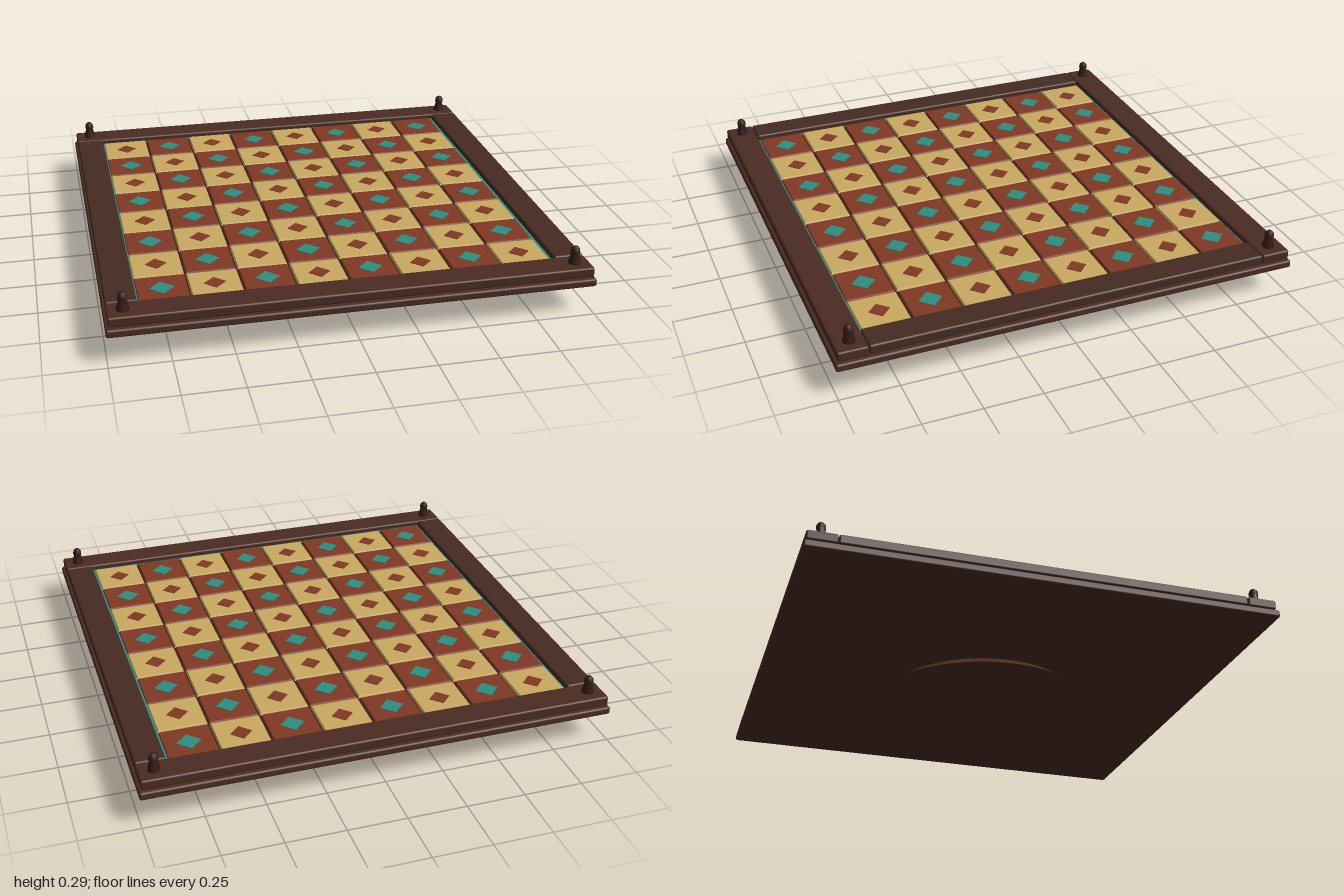
import * as THREE from 'three';
import { RoundedBoxGeometry } from 'three/addons/geometries/RoundedBoxGeometry.js';

const material = (name, color) => {
  const m = new THREE.MeshStandardMaterial({ color });
  m.name = name;
  return m;
};

export function createModel() {
  const wood = material('brown wood', 0x4a2b22);
  const sideWood = material('dull brown wood', 0x452b23);
  const dark = material('dark wood', 0x301c15);
  const cream = material('cream tile', 0xc9aa60);
  const rust = material('rust tile', 0x803822);
  const teal = material('teal inlay', 0x2a8f80);

  const board = new THREE.Group();
  board.name = 'gameBoard';
  const add = (name, geometry, mat, x = 0, y = 0, z = 0, parent = board) => {
    const mesh = new THREE.Mesh(geometry, mat);
    mesh.name = name;
    mesh.position.set(x, y, z);
    parent.add(mesh);
    return mesh;
  };
  const slab = (w, h, d, r) => new RoundedBoxGeometry(w, h, d, 2, r);

  // Pedestal: spreading foot, round column and a flare under the board
  add('pedestalFoot', new THREE.CylinderGeometry(0.43, 0.51, 0.055, 64), wood, 0, 0.0275);
  add('pedestalColumn', new THREE.CylinderGeometry(0.3, 0.3, 0.06, 64, 1, true), wood, 0, 0.08);
  add('pedestalFlare', new THREE.CylinderGeometry(0.51, 0.3, 0.028, 64), wood, 0, 0.118);

  // Base plate and the bed that carries the tiles
  add('basePlate', slab(2, 0.034, 2, 0.009), wood, 0, 0.145);
  add('tileBed', new THREE.BoxGeometry(1.75, 0.024, 1.75), dark, 0, 0.17);

  // Raised frame with long rails at front and back
  for (const s of [-1, 1]) {
    add(s > 0 ? 'frontRail' : 'backRail', slab(1.98, 0.042, 0.126, 0.008), wood, 0, 0.189, s * 0.927);
    add(s > 0 ? 'leftRail' : 'rightRail', slab(0.124, 0.042, 1.724, 0.008), sideWood, s * 0.927, 0.19, 0);
    // Thin inlay line beside the tiles
    add('inlayLine', new THREE.BoxGeometry(0.012, 0.006, 1.73), teal, s * 0.859, 0.1835, 0);
    add('inlayLine', new THREE.BoxGeometry(1.73, 0.006, 0.012), teal, 0, 0.1835, s * 0.859);
  }

  // Tapered corner pegs
  const pegGeometry = new THREE.LatheGeometry([
    [0.027, 0.205], [0.025, 0.22], [0.017, 0.25], [0.02, 0.26],
    [0.018, 0.275], [0.01, 0.284], [0, 0.286],
  ].map(([r, y]) => new THREE.Vector2(r, y)), 12);
  for (const x of [-0.925, 0.925])
    for (const z of [-0.925, 0.925]) add('cornerPeg', pegGeometry, dark, x, 0, z);

  // Tiles: four-sided frustums give each one a slim bevelled edge
  const pitch = 0.215;
  const tileGeometry = new THREE.CylinderGeometry(0.2 / Math.SQRT2, 0.21 / Math.SQRT2, 0.01, 4, 1)
    .toNonIndexed();
  tileGeometry.computeVertexNormals();
  tileGeometry.rotateY(Math.PI / 4);
  const diamond = (r) => new THREE.CylinderGeometry(r, r, 0.004, 4).toNonIndexed();
  const rustDiamond = diamond(0.045);
  const tealDiamond = diamond(0.051);
  rustDiamond.computeVertexNormals();
  tealDiamond.computeVertexNormals();

  const tiles = new THREE.Group();
  tiles.name = 'tiles';
  board.add(tiles);
  for (let row = 0; row < 8; row++) {
    for (let col = 0; col < 8; col++) {
      const light = (row + col) % 2 === 0;
      const x = (col - 3.5) * pitch - 0.003;
      const z = (row - 3.5) * pitch - 0.003;
      add(light ? 'lightTile' : 'darkTile', tileGeometry, light ? cream : rust, x, 0.187, z, tiles);
      add('tileDiamond', light ? rustDiamond : tealDiamond, light ? rust : teal, x, 0.192, z, tiles);
    }
  }
  return board;
}
